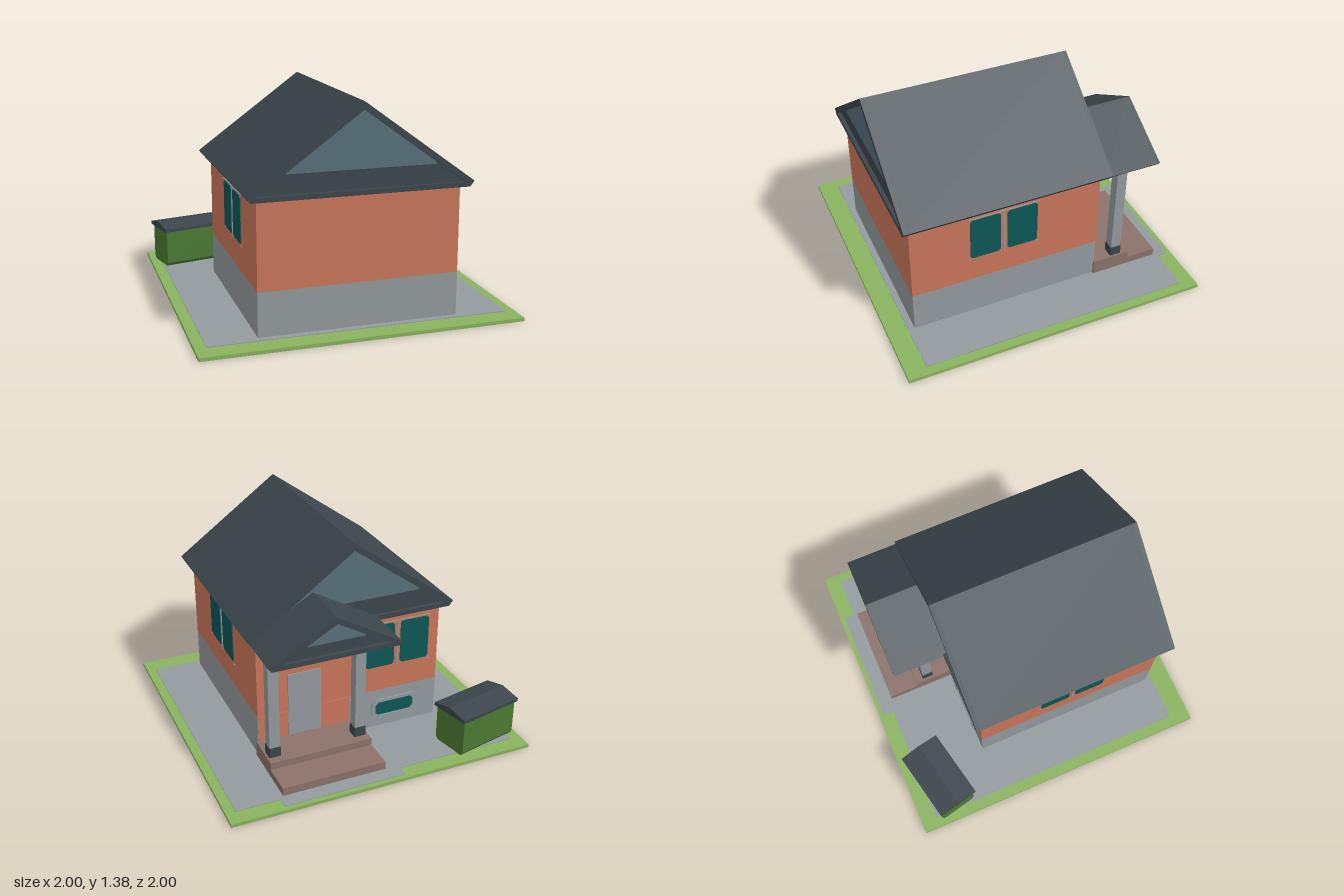
import * as THREE from 'three';

const mat = (name, color) => {
  const m = new THREE.MeshStandardMaterial({ color });
  m.name = name;
  return m;
};

export function createModel() {
  const grass = mat('grass green', 0x8ab35f);
  const grey = mat('stone grey', 0x949b9e);
  const orange = mat('wall orange', 0xcb775b);
  const slate = mat('roof slate', 0x3b464c);
  const glass = mat('gable glass', 0x587079);
  const teal = mat('window teal', 0x0d5858);
  const brown = mat('step brown', 0x8c736b);
  const binGreen = mat('bin green', 0x4b7a32);

  const model = new THREE.Group();
  model.name = 'house';

  const add = (name, geo, material, parent = model) => {
    const m = new THREE.Mesh(geo, material);
    m.name = name;
    parent.add(m);
    return m;
  };
  // Box given by its limits on each axis
  const box = (name, x0, x1, y0, y1, z0, z1, material, parent) => {
    const m = add(name, new THREE.BoxGeometry(x1 - x0, y1 - y0, z1 - z0), material, parent);
    m.position.set((x0 + x1) / 2, (y0 + y1) / 2, (z0 + z1) / 2);
    return m;
  };
  const poly = (pts) => new THREE.Shape(pts.map((p) => new THREE.Vector2(...p)));
  // Outline extruded along z between two limits
  const slab = (name, shape, z0, z1, material, parent) => {
    const geo = new THREE.ExtrudeGeometry(shape, { depth: z1 - z0, bevelEnabled: false });
    geo.translate(0, 0, z0);
    return add(name, geo, material, parent);
  };
  // Rectangle with clipped corners
  const clipped = (x0, x1, y0, y1, c) => poly([
    [x0 + c, y0], [x1 - c, y0], [x1, y0 + c], [x1, y1 - c],
    [x1 - c, y1], [x0 + c, y1], [x0, y1 - c], [x0, y0 + c],
  ]);
  const group = (name, parent = model) => {
    const g = new THREE.Group();
    g.name = name;
    parent.add(g);
    return g;
  };

  // Plot of land and paving
  box('lawn', -1, 1, 0, 0.022, -1, 1, grass);
  box('paving', -0.93, 0.94, 0.018, 0.026, -0.9, 0.87, grey);
  slab('entrancePaving', clipped(-0.13, 0.66, 0.88, 0.97, 0.01), 0.018, 0.026, grey)
    .geometry.rotateX(-Math.PI / 2);

  // Walls
  box('foundation', -0.622, 0.622, 0.02, 0.3, -0.425, 0.828, grey);
  box('walls', -0.622, 0.622, 0.3, 0.85, -0.425, 0.828, orange);
  box('porchWall', 0, 0.618, 0.12, 0.3, -0.429, -0.424, orange);

  // Gabled roof with recessed ends; ends lists which gables are open to view
  function gableRoof(name, r) {
    const g = group(name);
    g.position.x = r.x;
    const outline = () => poly([
      [-r.low, 0.838], [r.low, 0.838], [r.half, r.eave], [0, r.apex], [-r.half, r.eave],
    ]);
    const recess = 0.025;
    const slope = (r.apex - r.eave) / r.half;
    const innerHalf = (r.inner - 0.868) / slope;
    const z0 = r.ends.includes(-1) ? r.z0 + recess : r.z0;
    const z1 = r.ends.includes(1) ? r.z1 - recess : r.z1;
    slab('roofBody', outline(), z0, z1, slate, g);
    const w = (r.inner - r.glassY - 0.015) / slope;
    for (const s of r.ends) {
      const frame = outline();
      frame.holes.push(poly([[-innerHalf, 0.868], [0, r.inner], [innerHalf, 0.868]]));
      const pane = poly([
        [-w, r.glassY], [w, r.glassY], [w, r.glassY + 0.015], [0, r.inner], [-w, r.glassY + 0.015],
      ]);
      const a = s > 0 ? z1 : z0 - recess;
      slab('gableFrame', frame, a, a + recess, slate, g);
      const b = s > 0 ? z1 : z0 - 0.004;
      slab('gableGlass', pane, b, b + 0.004, glass, g);
    }
  }
  gableRoof('mainRoof', {
    x: 0, half: 0.692, low: 0.665, eave: 0.872, apex: 1.376, inner: 1.33,
    glassY: 0.985, z0: -0.475, z1: 0.875, ends: [-1, 1],
  });
  gableRoof('porchRoof', {
    x: 0.26, half: 0.42, low: 0.4, eave: 0.86, apex: 1.1, inner: 1.062,
    glassY: 0.94, z0: -0.81, z1: -0.44, ends: [-1],
  });

  // Porch platform, step and columns
  box('porchPlatform', -0.04, 0.635, 0.02, 0.125, -0.675, -0.42, brown);
  box('porchStep', -0.04, 0.635, 0.02, 0.078, -0.875, -0.675, brown);
  for (const x of [0.015, 0.585]) {
    box('columnBase', x - 0.037, x + 0.037, 0.12, 0.192, -0.622, -0.548, slate);
    box('column', x - 0.034, x + 0.034, 0.19, 0.845, -0.619, -0.551, grey);
  }

  // Door and the small window over it
  box('door', 0.2, 0.42, 0.125, 0.56, -0.433, -0.425, grey);
  slab('transomWindow', clipped(0.18, 0.4, 0.63, 0.73, 0.012), -0.432, -0.425, teal);

  // Double window built facing +z, then turned onto a wall
  function doubleWindow(name, x, z, turn) {
    const g = group(name);
    for (const s of [-1, 1]) {
      const a = s < 0 ? -0.222 : 0.022;
      slab('pane', clipped(a, a + 0.2, 0.475, 0.772, 0.014), -0.002, 0.005, teal, g);
      box('sillBracket', s * 0.228 - 0.008, s * 0.228 + 0.008, 0.458, 0.466, 0, 0.004, grey, g);
    }
    box('topRail', -0.23, 0.23, 0.78, 0.786, 0, 0.006, grey, g);
    box('centrePost', -0.006, 0.006, 0.46, 0.786, 0, 0.006, grey, g);
    g.position.set(x, 0, z);
    g.rotation.y = turn;
  }
  doubleWindow('leftWindow', 0.622, 0.222, Math.PI / 2);
  doubleWindow('rightWindow', -0.622, 0.222, -Math.PI / 2);
  doubleWindow('backWindow', -0.33, -0.425, Math.PI);

  // Basement window with a raised frame
  const rim = clipped(-0.48, -0.16, 0.09, 0.23, 0.025);
  rim.holes.push(clipped(-0.455, -0.185, 0.112, 0.208, 0.02));
  slab('basementFrame', rim, -0.437, -0.424, grey);
  slab('basementPane', clipped(-0.455, -0.185, 0.112, 0.208, 0.02), -0.43, -0.424, teal);

  // Garden bin with a pitched lid, ridge along its length
  const bin = group('gardenBin');
  const body = slab('binBody', poly([
    [-0.105, 0.022], [0.105, 0.022], [0.125, 0.05], [0.125, 0.285], [-0.125, 0.285], [-0.125, 0.05],
  ]), -0.215, 0.215, binGreen, bin);
  const lid = slab('binLid', poly([
    [-0.137, 0.275], [0.137, 0.275], [0.137, 0.296], [0, 0.325], [-0.137, 0.296],
  ]), -0.23, 0.23, slate, bin);
  for (const m of [body, lid]) m.rotation.y = Math.PI / 2;
  bin.position.set(-0.725, 0, -0.78);
  bin.rotation.y = 0.215;

  return model;
}
